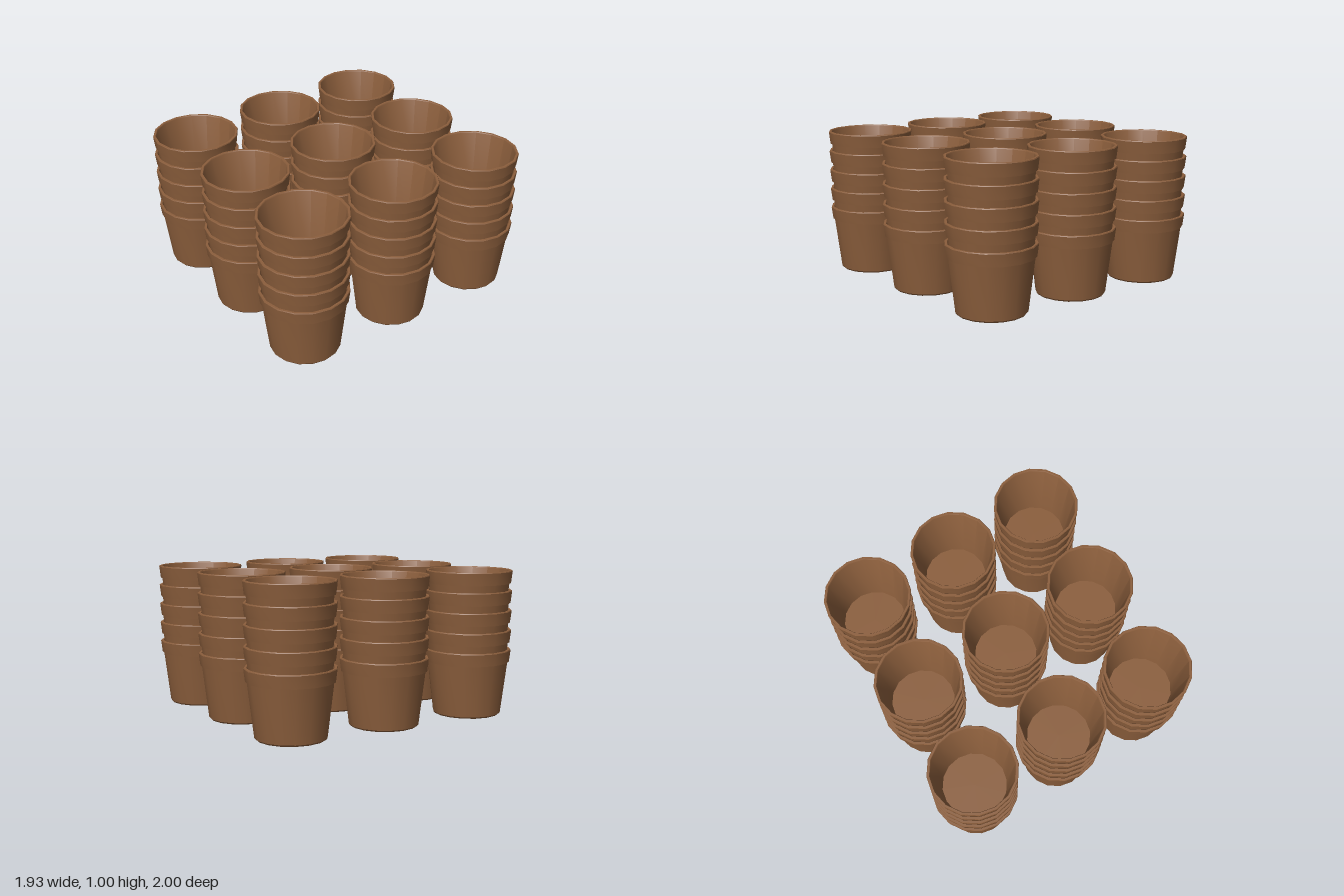
import * as THREE from 'three';
import { toCreasedNormals } from 'three/addons/utils/BufferGeometryUtils.js';

const SIDES = 16;
const POTS_PER_STACK = 5;
const NEST_STEP = 0.136;
const SPACING_X = 0.67;
const SPACING_Z = 0.703;

// Closed pot profile: underside, outer wall, collar, rim, inner wall, floor
function potGeometry() {
  const profile = [
    [0, 0], [0.226, 0], [0.234, 0.01],
    [0.277, 0.367], [0.287, 0.367],
    [0.297, 0.449], [0.294, 0.455],
    [0.28, 0.455], [0.276, 0.449],
    [0.219, 0.02], [0, 0.02],
  ].map(([r, y]) => new THREE.Vector2(r, y));
  return toCreasedNormals(new THREE.LatheGeometry(profile, SIDES), 0.5);
}

export function createModel() {
  const model = new THREE.Group();
  model.name = 'stackedPots';
  const terracotta = new THREE.MeshStandardMaterial({ color: 0x8b5e3c });
  terracotta.name = 'brownClay';
  const geometry = potGeometry();

  // Three by three grid of nested stacks
  for (let row = -1; row <= 1; row++) {
    for (let column = -1; column <= 1; column++) {
      const stack = new THREE.Group();
      stack.name = 'potStack';
      stack.position.set(column * SPACING_X, 0, row * SPACING_Z);
      for (let i = 0; i < POTS_PER_STACK; i++) {
        const pot = new THREE.Mesh(geometry, terracotta);
        pot.name = 'pot';
        pot.position.y = i * NEST_STEP;
        stack.add(pot);
      }
      model.add(stack);
    }
  }
  return model;
}
